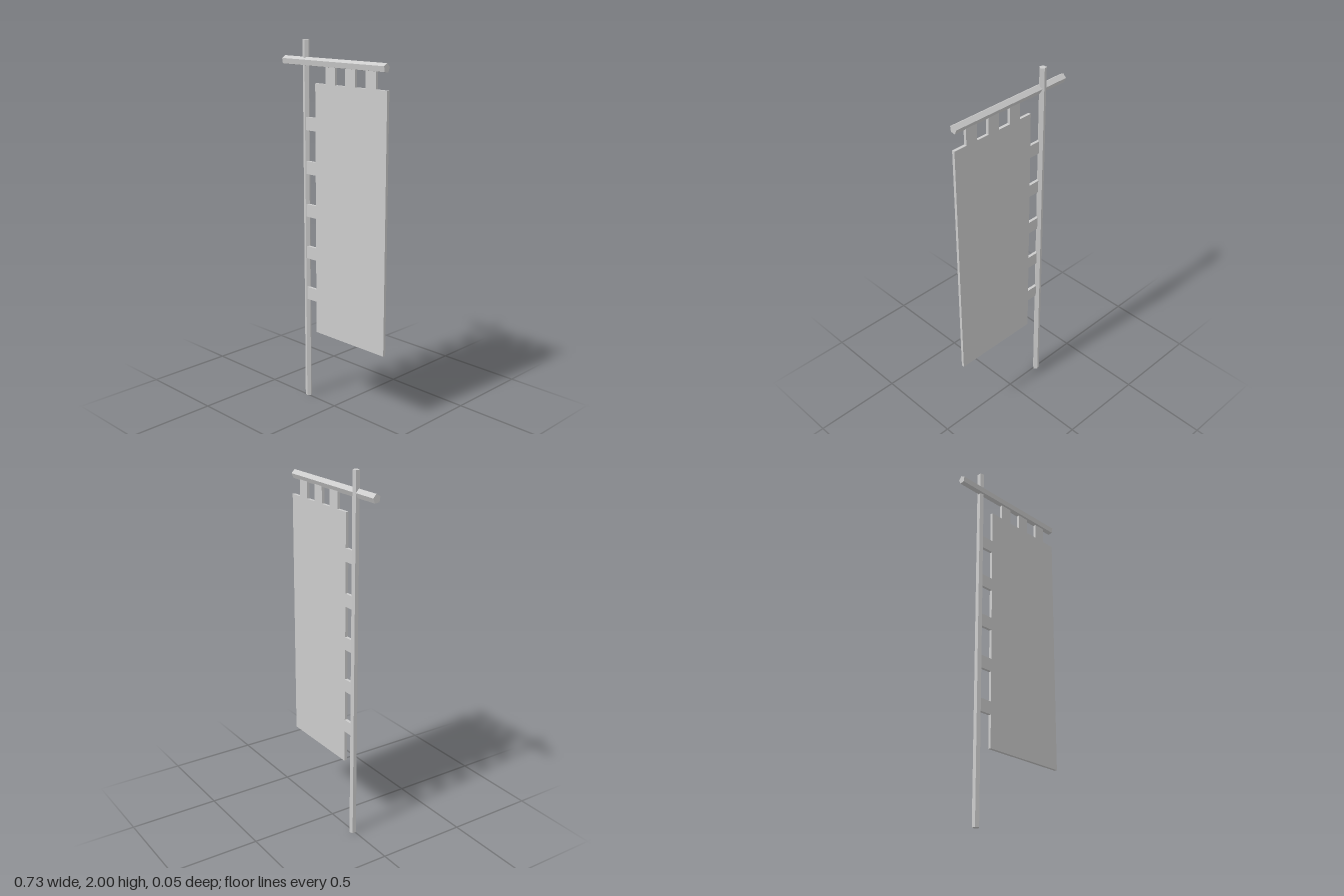
import * as THREE from 'three';

export function createModel() {
  const group = new THREE.Group();
  const material = new THREE.MeshStandardMaterial({ color: 0xcccccc, flatShading: true });
  const add = (name, geometry, x, y, z) => {
    const mesh = new THREE.Mesh(geometry, material);
    mesh.name = name;
    mesh.position.set(x, y, z);
    group.add(mesh);
    return mesh;
  };

  // Five-sided upright pole
  add('pole', new THREE.CylinderGeometry(0.0185, 0.0185, 2, 5, 1, false, Math.PI / 2), -0.2125, 1, -0.007);

  // Five-sided crossbar, with one ridge near the top
  const bar = new THREE.CylinderGeometry(0.022, 0.022, 0.724, 5, 1, false, THREE.MathUtils.degToRad(-98));
  bar.rotateZ(-Math.PI / 2).scale(1, 1.1, 1);
  add('crossbar', bar, -0.005, 1.887, 0.003);

  // Cloth outline: a tall panel with tabs reaching the pole and the crossbar
  const left = -0.132, right = 0.365, bottom = 0.407, top = 1.78;
  const tabLeft = -0.204, tabTop = 1.88;
  const outline = [[left, bottom], [right, bottom], [right, top]];
  for (const x of [0.257, 0.117, -0.023]) {
    const h = 0.034;
    outline.push([x + h, top], [x + h, tabTop], [x - h, tabTop], [x - h, top]);
  }
  outline.push([left, top]);
  for (let i = 0; i < 5; i++) {
    const y = 1.564 - i * 0.236, h = 0.035;
    outline.push([left, y + h], [tabLeft, y + h], [tabLeft, y - h], [left, y - h]);
  }
  const shape = new THREE.Shape(outline.map(([x, y]) => new THREE.Vector2(x, y)));
  const cloth = new THREE.ExtrudeGeometry(shape, { depth: 0.016, bevelEnabled: false });
  add('bannerCloth', cloth, 0, 0, -0.009);

  return group;
}
